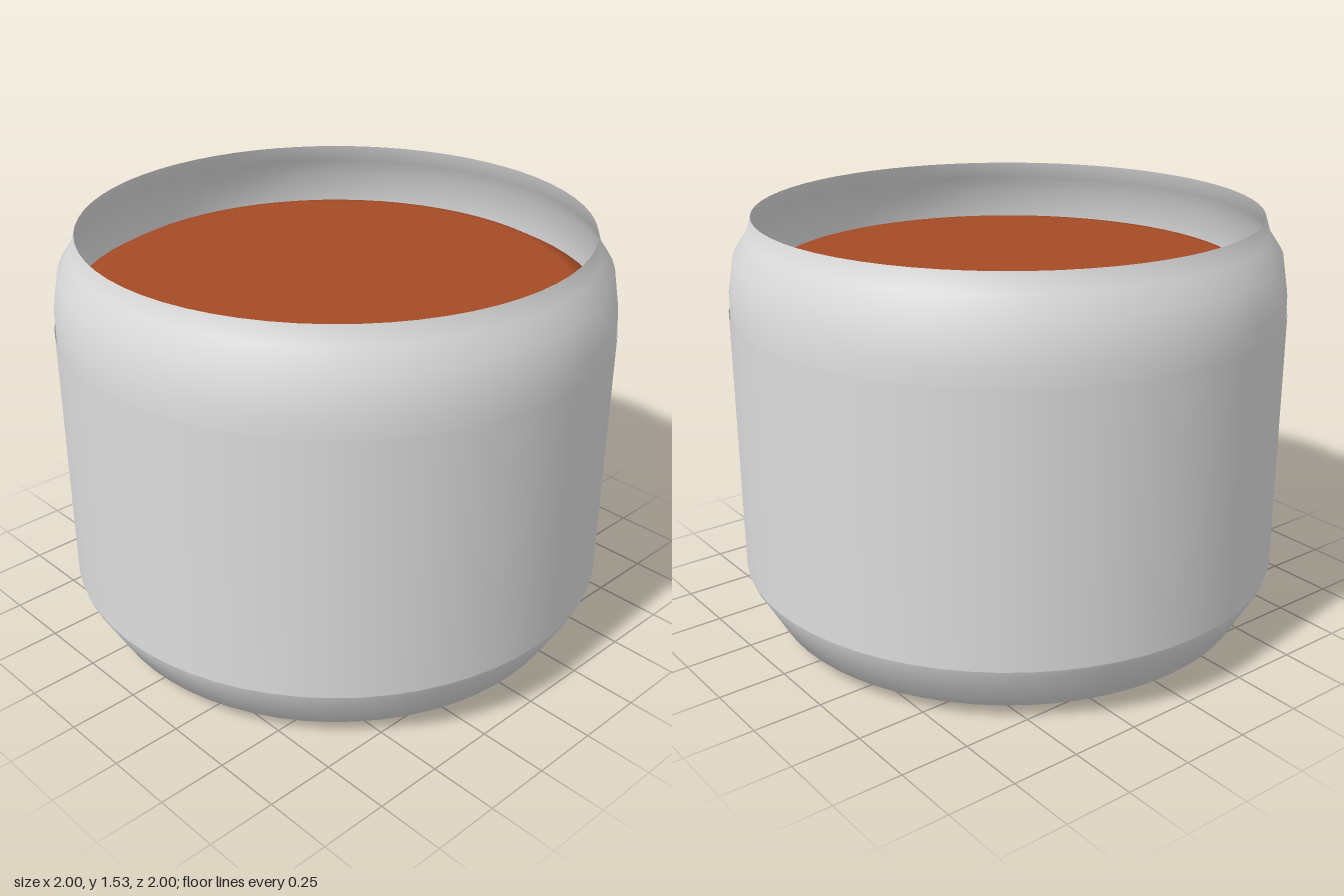
import * as THREE from 'three';

const SEGMENTS = 64;

export function createModel() {
  const group = new THREE.Group();
  const shell = new THREE.MeshStandardMaterial({ color: 0xdcdcdc, side: THREE.DoubleSide });
  shell.name = 'paleGrey';
  const filling = new THREE.MeshStandardMaterial({ color: 0xa64b26 });
  filling.name = 'rustBrown';

  // Turned part from [radius, height] pairs, listed from bottom to top
  const turned = (name, profile, material) => {
    const points = profile.map(([r, y]) => new THREE.Vector2(r, y));
    const mesh = new THREE.Mesh(new THREE.LatheGeometry(points, SEGMENTS), material);
    mesh.name = name;
    group.add(mesh);
  };

  // Thin-walled jar with a chamfered foot and a stepped-in open neck
  turned('jar', [
    [0, 0], [0.6, 0], [0.72, 0.003], [0.9, 0.055], [0.993, 0.22], [0.996, 0.3],
    [0.996, 1.18], [0.995, 1.27], [0.973, 1.4], [0.925, 1.47], [0.905, 1.535],
  ], shell);

  // Slim band wrapped around the straight wall
  turned('band', [[1, 0.24], [1, 1.2]], shell);

  // Contents with a softly rounded top edge
  turned('contents', [
    [0, 0.04], [0.7, 0.04], [0.87, 0.09], [0.96, 0.25], [0.975, 1.2],
    [0.94, 1.28], [0.865, 1.32], [0.84, 1.32], [0, 1.32],
  ], filling);

  return group;
}
